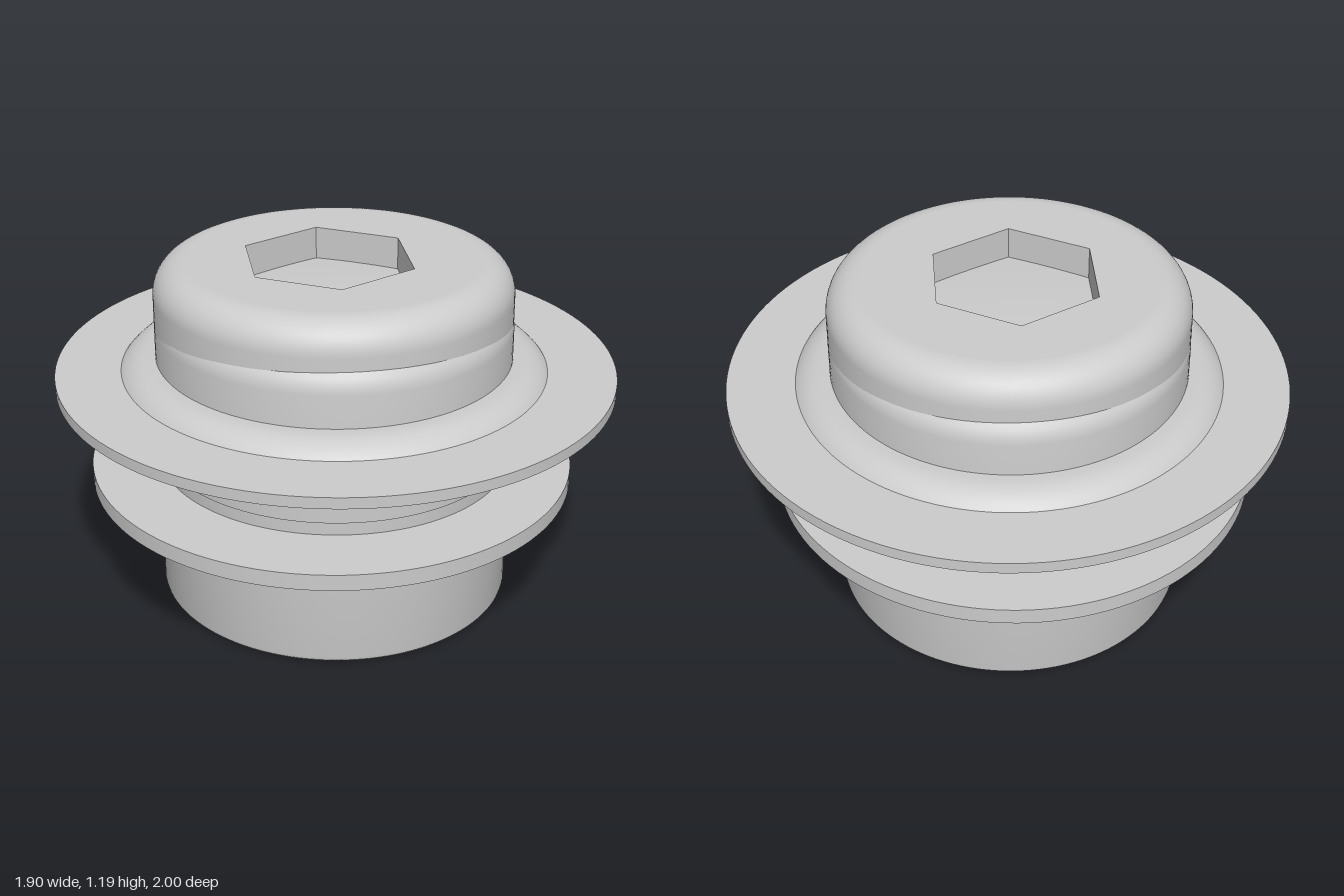
import * as THREE from 'three';
import { toCreasedNormals } from 'three/addons/utils/BufferGeometryUtils.js';

const SEGMENTS = 128;

// Points of an elliptical quarter fillet, from the vertical side up to the flat top.
function fillet(radius, top, width, height, steps = 12) {
  return Array.from({ length: steps + 1 }, (_, i) => {
    const a = (i / steps) * Math.PI / 2;
    return [radius - width * (1 - Math.cos(a)), top - height * (1 - Math.sin(a))];
  });
}

export function createModel() {
  const model = new THREE.Group();
  const material = new THREE.MeshStandardMaterial({ color: 0xcccccc });
  const doubleSided = new THREE.MeshStandardMaterial({ color: 0xcccccc, side: THREE.DoubleSide });

  const add = (name, geometry, mat = material, parent = model) => {
    const mesh = new THREE.Mesh(geometry, mat);
    mesh.name = name;
    parent.add(mesh);
    return mesh;
  };

  // Turned part; profile is listed bottom to top, depth stretches it along z.
  const turned = (name, profile, { x = -0.007, z = 0, depth = 1 } = {}, parent = model) => {
    const lathe = new THREE.LatheGeometry(profile.map(p => new THREE.Vector2(...p)), SEGMENTS);
    lathe.scale(1, 1, depth).translate(x, 0, z);
    return add(name, toCreasedNormals(lathe, 0.5), material, parent);
  };
  const disc = (r, y0, y1) => [[0, y0], [r, y0], [r, y1], [0, y1]];

  // Main barrel with a softened foot and a gently domed shoulder
  const R = 0.607;
  turned('barrel', [
    [0, 0], [R - 0.025, 0], [R - 0.01, 0.006], [R - 0.002, 0.015], [R, 0.025],
    [R, 0.97], [R - 0.004, 0.995], [R - 0.014, 1.018], [R - 0.032, 1.04],
    [0.5, 1.058], [0.4, 1.069], [0.25, 1.08], [0.12, 1.086], [0, 1.088],
  ], { depth: 1.05 });

  // Slightly proud sleeve between the two washers
  turned('sleeve', disc(0.612, 0.53, 0.72), { depth: 1.05 });

  // Lower and upper washers
  turned('lowerWasher', disc(0.825, 0.43, 0.485), { x: -0.02, z: 0.02, depth: 1.052 });
  turned('upperWasher', disc(0.952, 0.772, 0.81), { x: -0.002, depth: 1.05 });

  // Rounded collar through the upper washer
  turned('collar', [[0, 0.695], [0.757, 0.695],
    ...fillet(0.757, 0.858, 0.13, 0.14), [0, 0.858]], { depth: 1.053 });

  // Round cap with a hexagonal socket
  const cap = new THREE.Group();
  cap.name = 'cap';
  model.add(cap);
  const top = 1.19, rim = 0.11, hexR = 0.303, floor = 1.07, hexX = -0.025;
  turned('capSide', [[R, 0.9], ...fillet(R, top, rim, rim)], {}, cap);

  const face = new THREE.Shape().absarc(-0.007, 0, R - rim, 0, Math.PI * 2);
  const hole = new THREE.Path();
  hole.setFromPoints(Array.from({ length: 6 }, (_, i) => {
    const a = -i * Math.PI / 3 + Math.PI / 2;
    return new THREE.Vector2(hexX + hexR * Math.cos(a), hexR * Math.sin(a));
  }));
  hole.closePath();
  face.holes.push(hole);
  const faceGeometry = new THREE.ShapeGeometry(face, SEGMENTS);
  faceGeometry.rotateX(-Math.PI / 2).translate(0, top, 0);
  add('capFace', faceGeometry, material, cap);

  // Socket walls run down to the barrel's dome
  const walls = new THREE.CylinderGeometry(hexR, hexR, top - floor, 6, 1, true);
  walls.translate(hexX, (top + floor) / 2, 0);
  add('socketWalls', toCreasedNormals(walls, 0.5), doubleSided, cap);

  return model;
}
